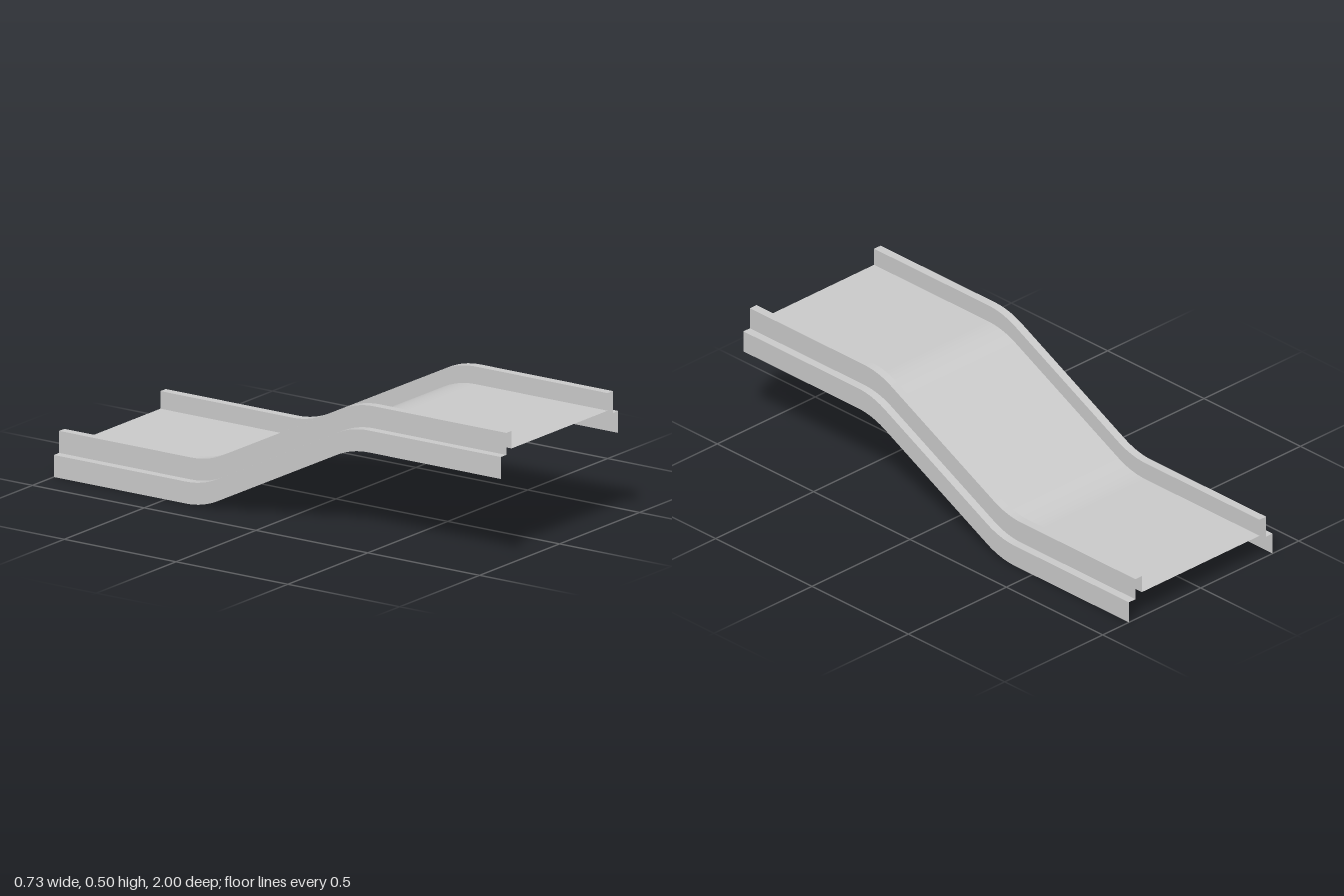
import * as THREE from 'three';

// Side path as [z, y]: flat high run, rounded bend, slope, rounded bend, flat low run
function makePath() {
  const bend = (a, b, c) => new THREE.QuadraticBezierCurve(
    new THREE.Vector2(...a), new THREE.Vector2(...b), new THREE.Vector2(...c)).getPoints(10);
  return [
    new THREE.Vector2(1, 0.3333),
    ...bend([0.41, 0.3333], [0.3333, 0.3333], [0.265, 0.299]),
    ...bend([-0.265, 0.0343], [-0.3333, 0], [-0.41, 0]),
    new THREE.Vector2(-1, 0),
  ];
}

// Sweep one edge of the cross-section, a to b as [x, y], along the path
function sweep(path, a, b) {
  const positions = [], index = [];
  path.forEach((p, i) => {
    positions.push(a[0], a[1] + p.y, p.x, b[0], b[1] + p.y, p.x);
    if (i > 0) {
      const k = (i - 1) * 2;
      index.push(k, k + 1, k + 3, k, k + 3, k + 2);
    }
  });
  const geometry = new THREE.BufferGeometry();
  geometry.setAttribute('position', new THREE.Float32BufferAttribute(positions, 3));
  geometry.setIndex(index);
  geometry.computeVertexNormals();
  return geometry;
}

export function createModel() {
  const model = new THREE.Group();
  model.name = 'conveyorRamp';
  const metal = new THREE.MeshStandardMaterial({ color: 0xcccccc, side: THREE.DoubleSide });
  metal.name = 'lightGrey';
  const path = makePath();

  const add = (parent, name, a, b) => {
    const mesh = new THREE.Mesh(sweep(path, a, b), metal);
    mesh.name = name;
    parent.add(mesh);
  };

  // Belt sheet between the rails
  add(model, 'belt', [-0.3, 0.1], [0.3, 0.1]);

  // Stepped sheet rail, from the outer skirt in to the belt edge
  const section = [[0.3667, 0], [0.3667, 0.0833], [0.3333, 0.0833],
    [0.3333, 0.1667], [0.3, 0.1667], [0.3, 0.1]];
  const names = ['outerSkirt', 'shelf', 'outerWall', 'railTop', 'innerWall'];
  for (const side of [-1, 1]) {
    const rail = new THREE.Group();
    rail.name = side > 0 ? 'leftRail' : 'rightRail';
    names.forEach((name, i) => {
      const a = [side * section[i][0], section[i][1]];
      const b = [side * section[i + 1][0], section[i + 1][1]];
      // Swap the ends on the mirrored side to keep the faces outward
      if (side < 0) add(rail, name, a, b);
      else add(rail, name, b, a);
    });
    model.add(rail);
  }
  return model;
}
